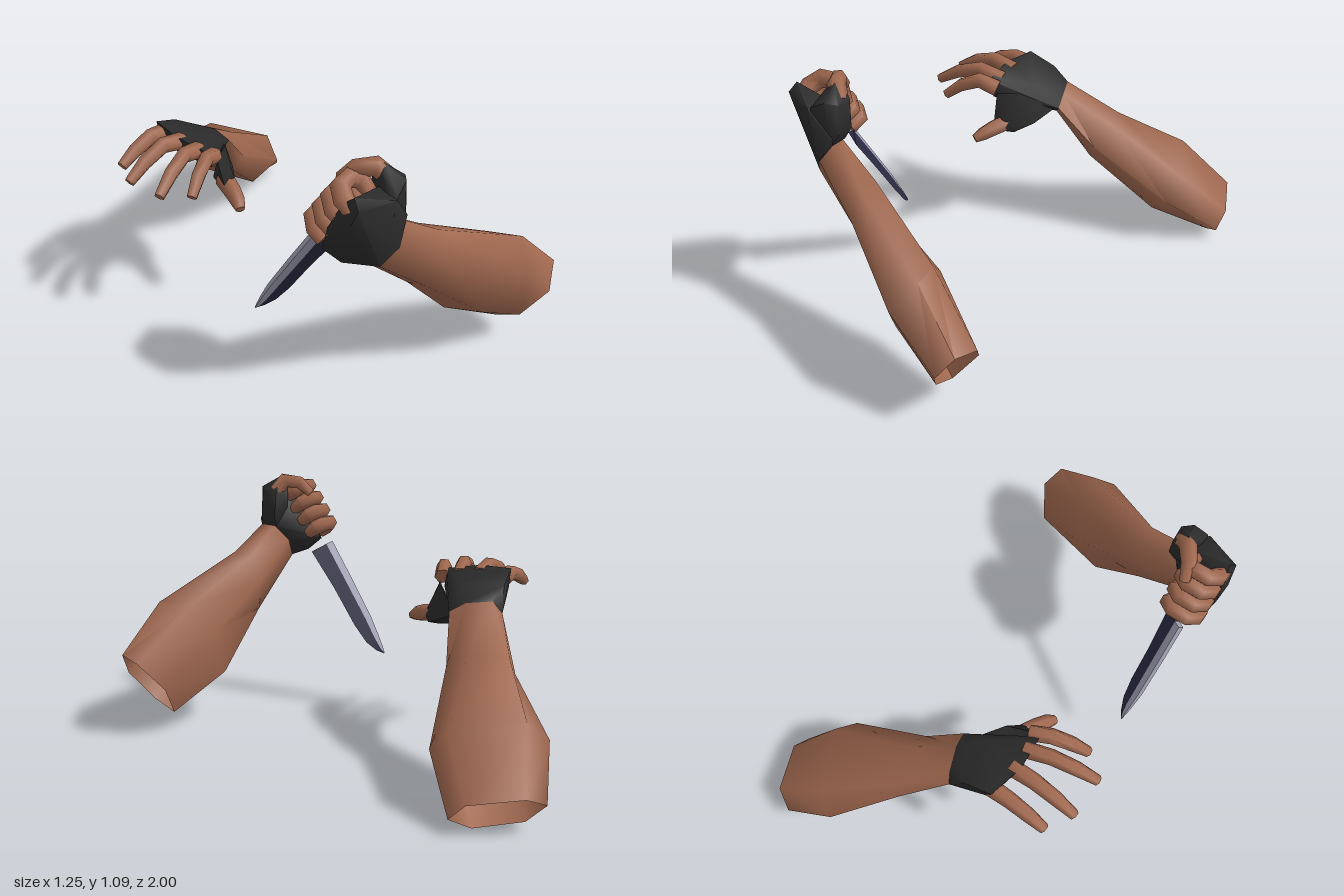
import * as THREE from 'three';
import { toCreasedNormals } from 'three/addons/utils/BufferGeometryUtils.js';
import { ConvexGeometry } from 'three/addons/geometries/ConvexGeometry.js';

const V = (x, y, z) => new THREE.Vector3(x, y, z);
const vecs = (list) => list.map((p) => V(...p));

// Skin over a series of equal rings, counter-clockwise about the direction of travel
function loft(rings, capped = true, crease = 1.25) {
  const n = rings[0].length, pos = [], idx = [];
  rings.forEach((r) => r.forEach((p) => pos.push(p.x, p.y, p.z)));
  for (let i = 0; i < rings.length - 1; i++) {
    for (let j = 0; j < n; j++) {
      const a = i * n + j, b = i * n + (j + 1) % n;
      idx.push(a, b, b + n, a, b + n, a + n);
    }
  }
  if (capped) {
    const last = (rings.length - 1) * n;
    for (let j = 1; j < n - 1; j++) {
      idx.push(0, j + 1, j);
      idx.push(last, last + j, last + j + 1);
    }
  }
  const g = new THREE.BufferGeometry();
  g.setAttribute('position', new THREE.Float32BufferAttribute(pos, 3));
  g.setIndex(idx);
  return toCreasedNormals(g, crease);
}

// Six-sided tapering finger along a path; ref is roughly square to the bend
function fingerGeometry(path, radii, ref) {
  const rings = path.map((p, i) => {
    const t = path[Math.min(i + 1, path.length - 1)].clone().sub(path[Math.max(i - 1, 0)]).normalize();
    const n1 = t.clone().cross(ref).normalize(), n2 = t.clone().cross(n1);
    return Array.from({ length: 6 }, (_, k) => {
      const a = (k + 0.5) * Math.PI / 3;
      return p.clone().addScaledVector(n1, Math.cos(a) * radii[i]).addScaledVector(n2, Math.sin(a) * radii[i]);
    });
  });
  return loft(rings);
}

const hull = (list) => toCreasedNormals(new ConvexGeometry(vecs(list)), 1);

export function createModel() {
  const root = new THREE.Group();
  const material = (name, color, side = THREE.FrontSide) => {
    const m = new THREE.MeshStandardMaterial({ color, side });
    m.name = name;
    return m;
  };
  const skin = material('skin', 0xa0684f, THREE.DoubleSide);
  const cloth = material('glove black', 0x2b2b2b);
  const steel = material('steel', 0xa2a2b6);
  const darkSteel = material('dark steel', 0x2b2a42);
  const group = (name) => {
    const g = new THREE.Group();
    g.name = name;
    root.add(g);
    return g;
  };
  const add = (parent, name, geometry, mat) => {
    const m = new THREE.Mesh(geometry, mat);
    m.name = name;
    parent.add(m);
  };

  // Raised arm: forearm from wrist to open elbow end
  const raised = group('raisedArm');
  const wristA = [[-.43, .78, .735], [-.48, .705, .69], [-.485, .70, .62], [-.43, .78, .605], [-.38, .85, .65], [-.375, .855, .715]];
  add(raised, 'forearm', loft([
    wristA,
    [[-.22, .62, .81], [-.25, .50, .74], [-.25, .48, .66], [-.23, .62, .63], [-.215, .735, .67], [-.215, .745, .76]],
    [[.09, .46, .99], [0, .27, .86], [-.02, .225, .70], [.075, .44, .672], [.13, .55, .78], [.165, .565, .91]],
    [[.29, .26, 1.0], [.225, .135, .915], [.22, .085, .81], [.32, .22, .775], [.385, .34, .87], [.36, .36, .97]],
  ].map(vecs), false, 1.6), skin);

  // Fist glove: hand back and thumb base
  add(raised, 'gloveHand', hull([
    ...wristA, [-.37, .88, .72], [-.46, .99, .735], [-.41, .99, .64],
    [-.585, .745, .60], [-.55, .72, .57], [-.618, .90, .64], [-.608, 1.0, .68], [-.59, 1.035, .65], [-.6, 1.0, .61],
    [-.615, .89, .56], [-.59, .77, .52], [-.53, .79, .495], [-.50, .73, .56],
  ]), cloth);
  add(raised, 'gloveThumbBase', hull([
    [-.375, .855, .715], [-.38, .85, .64], [-.35, .90, .70], [-.35, .90, .63], [-.35, 1.02, .69], [-.355, 1.02, .62],
    [-.405, 1.075, .64], [-.42, 1.06, .60], [-.44, 1.045, .66], [-.45, 1.0, .73], [-.39, 1.03, .72], [-.47, .93, .73], [-.42, .94, .60],
  ]), cloth);

  // Curled fingers stacked along the grip
  const along = V(0, -.83, -.56), out = V(0, .56, -.83);
  for (let k = 0; k < 4; k++) {
    const s = 1 - 0.05 * Math.abs(k - 1);
    const mid = V(0, .922, .535).addScaledVector(along, (k - 1.5) * .067);
    const path = [[-.578, -.06], [-.578, -.01], [-.548, .037], [-.49, .042], [-.457, .01], [-.465, -.05]]
      .map(([x, f]) => mid.clone().add(V(x, 0, 0)).addScaledVector(out, f * s));
    add(raised, 'finger' + (k + 1), fingerGeometry(path, [.034, .037, .037, .036, .035, .026], along), skin);
  }
  add(raised, 'thumb', fingerGeometry(
    vecs([[-.385, 1.01, .645], [-.42, 1.06, .615], [-.46, 1.05, .56], [-.48, 1.0, .51]]),
    [.036, .036, .032, .022], V(.7, 0, -.7)), skin);

  // Blade: thick light back and a dark tapering cutting side
  const knife = group('knife');
  const base = V(-.505, .747, .468);
  const d = V(-.026, -.828, -.561).normalize();
  const w = V(-.09, 0, 0).addScaledVector(out, .07).normalize();
  const n = d.clone().cross(w);
  const at = (t, u, v) => base.clone().addScaledVector(d, t).addScaledVector(w, u).addScaledVector(n, v);
  const stations = [ // distance, back, ridge, cutting edge, half thickness
    [0, .057, .022, -.057, .011], [.2, .046, .012, -.052, .011], [.4, .032, .002, -.058, .01],
    [.5, .018, -.006, -.05, .007], [.555, .008, -.006, -.027, .004], [.585, .002, 0, -.002, .001],
  ];
  add(knife, 'bladeBack', loft(stations.map(([t, s, m, , h]) => [at(t, m, -h), at(t, s, -h), at(t, s, h), at(t, m, h)]), true, .5), steel);
  add(knife, 'bladeEdge', loft(stations.map(([t, , m, e, h]) => [at(t, m, h), at(t, e, 0), at(t, m, -h)]), true, .5), darkSteel);

  // Reaching arm: forearm from wrist to open elbow end
  const reaching = group('reachingArm');
  const wristB = [[-.08, .66, -.45], [-.065, .62, -.385], [-.09, .59, -.41], [-.13, .59, -.52], [-.14, .62, -.585], [-.12, .67, -.55]];
  add(reaching, 'forearm', loft([
    wristB,
    [[.13, .51, -.55], [.09, .44, -.445], [.05, .37, -.48], [0, .37, -.62], [.03, .43, -.71], [.07, .50, -.70]],
    [[.46, .31, -.62], [.425, .22, -.53], [.32, .12, -.60], [.22, .16, -.82], [.25, .27, -.93], [.33, .35, -.87]],
    [[.62, .12, -.76], [.61, .05, -.69], [.535, 0, -.75], [.455, .03, -.92], [.46, .11, -1.0], [.54, .15, -.95]],
  ].map(vecs), false, 1.6), skin);

  // Open-hand glove: palm and thumb base
  add(reaching, 'glovePalm', hull([
    ...wristB, [-.32, .77, -.55], [-.355, .765, -.40], [-.34, .74, -.25], [-.2, .72, -.565], [-.18, .715, -.37],
    [-.31, .69, -.545], [-.34, .68, -.40], [-.32, .665, -.25], [-.2, .645, -.54],
  ]), cloth);
  add(reaching, 'gloveThumbBase', hull([
    [-.09, .61, -.40], [-.14, .56, -.30], [-.20, .53, -.23], [-.25, .515, -.25], [-.29, .53, -.20],
    [-.235, .56, -.20], [-.29, .59, -.215], [-.295, .69, -.24], [-.2, .70, -.28], [-.22, .53, -.34],
  ]), cloth);

  // Spread fingers, arching forward and down: [base, tip, arch]
  [
    [[-.30, .725, -.52], [-.55, .675, -.525], .03],
    [[-.32, .73, -.41], [-.615, .675, -.415], .045],
    [[-.32, .72, -.32], [-.615, .675, -.25], .05],
    [[-.30, .71, -.25], [-.52, .655, -.17], .05],
  ].forEach(([a, b, arch], k) => {
    const p = V(...a), q = V(...b);
    const path = [[0, 0], [.35, 1], [.7, .75], [1, 0]].map(([t, h]) => p.clone().lerp(q, t).add(V(0, arch * h, 0)));
    add(reaching, 'finger' + (k + 1), fingerGeometry(path, [.036, .033, .030, .022], V(0, 0, 1)), skin);
  });
  add(reaching, 'thumb', fingerGeometry(
    vecs([[-.24, .565, -.26], [-.275, .55, -.18], [-.30, .535, -.13], [-.32, .52, -.10]]),
    [.04, .036, .031, .02], V(0, 1, 0)), skin);

  return root;
}
